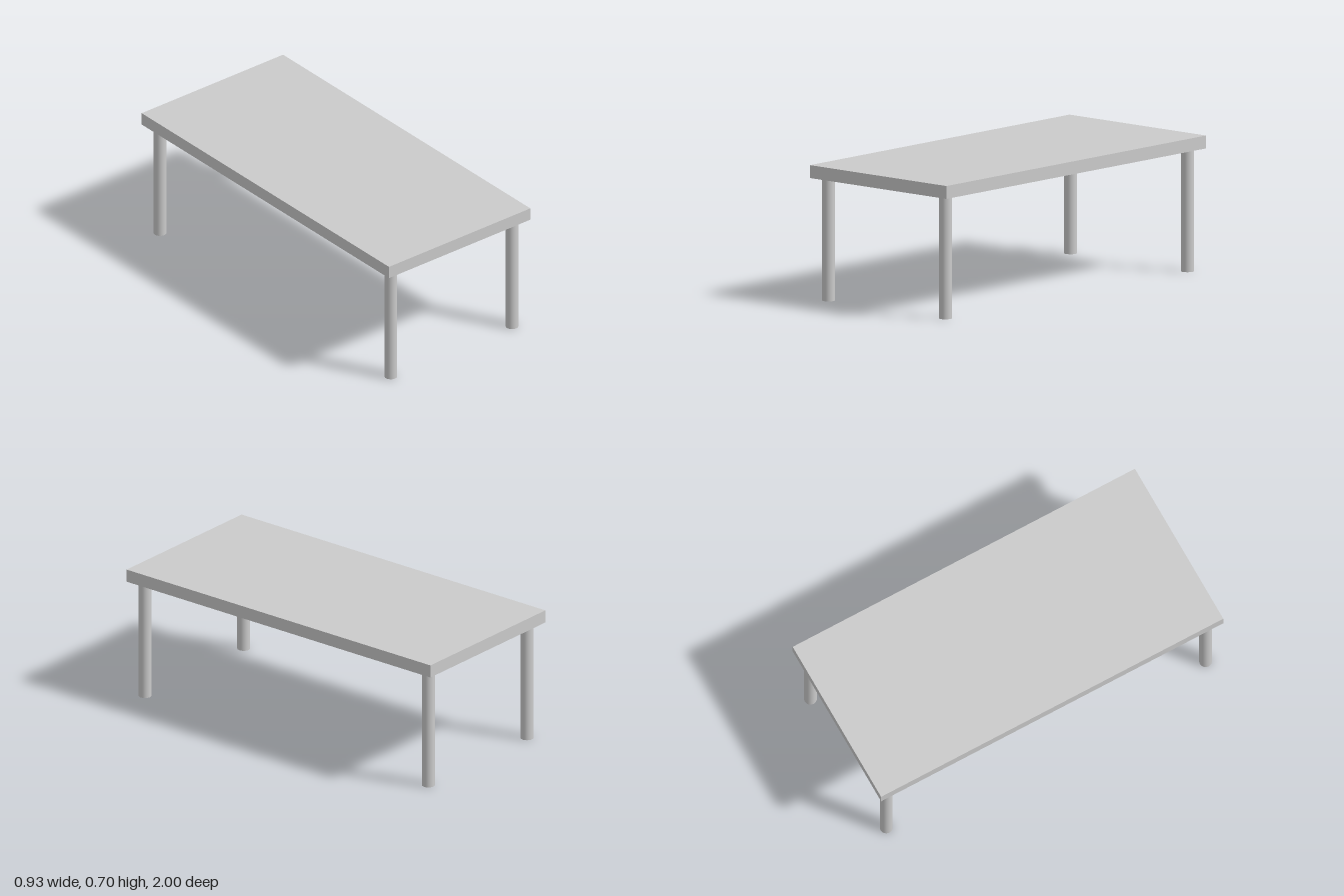
import * as THREE from 'three';

const WIDTH = 0.933, LENGTH = 2, THICKNESS = 0.067;
const LEG_HEIGHT = 0.636, LEG_RADIUS = 0.033;
const LEG_X = 0.4, LEG_Z = 0.933;

export function createModel() {
  const table = new THREE.Group();
  table.name = 'table';
  const material = new THREE.MeshStandardMaterial({ color: 0xcccccc });

  // Flat slab top
  const top = new THREE.Mesh(new THREE.BoxGeometry(WIDTH, THICKNESS, LENGTH), material);
  top.name = 'tableTop';
  top.position.y = LEG_HEIGHT + THICKNESS / 2;
  table.add(top);

  // Four round legs, set in from the corners
  const legGeometry = new THREE.CylinderGeometry(LEG_RADIUS, LEG_RADIUS, LEG_HEIGHT, 32);
  for (const [zName, z] of [['front', 1], ['back', -1]]) {
    for (const [xName, x] of [['Left', 1], ['Right', -1]]) {
      const leg = new THREE.Mesh(legGeometry, material);
      leg.name = `${zName}${xName}Leg`;
      leg.position.set(x * LEG_X, LEG_HEIGHT / 2, z * LEG_Z);
      table.add(leg);
    }
  }

  return table;
}
